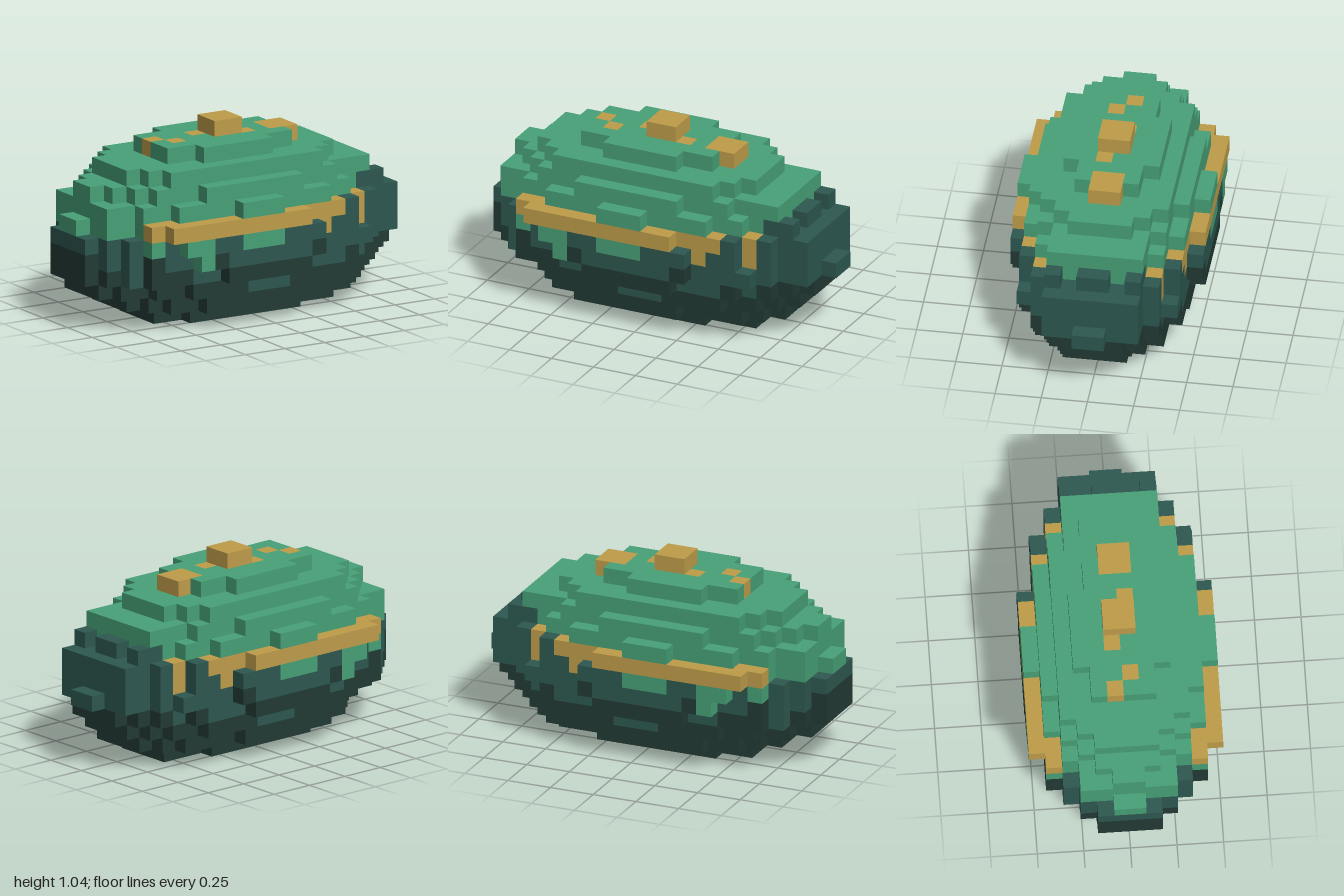
import * as THREE from 'three';
import { mergeGeometries } from 'three/addons/utils/BufferGeometryUtils.js';

const S = 2 / 23; // size of one block

// Each layer, bottom up: [start, end] block columns for rows at growing distance from the middle
const LAYERS = [
  [[5, 18], [5, 18], [7, 15]],
  [[3, 20], [3, 20], [4, 19], [5, 18], [7, 14]],
  [[1, 21], [1, 21], [2, 20], [4, 19], [6, 17]],
  [[0, 22], [0, 22], [1, 21], [2, 20], [3, 18], [8, 14]],
  [[0, 23], [0, 22], [1, 22], [2, 20], [3, 19], [6, 15]],
  [[0, 22], [0, 22], [1, 22], [2, 20], [3, 18], [5, 15]],
  [[0, 22], [1, 22], [1, 22], [3, 20], [3, 18], [4, 14]],
  [[1, 21], [1, 20], [1, 21], [3, 18], [5, 16], [9, 12]],
  [[1, 20], [2, 20], [3, 20], [4, 17], [7, 14]],
  [[3, 18], [3, 18], [4, 17], [5, 16]],
  [[6, 16], [6, 15], [8, 13]],
  [[10, 12]],
];

const COLOURS = { green: 0x47a177, teal: 0x2d5850, dark: 0x223a35, gold: 0xbf9d4a };
const PARTS = { green: 'domedShell', teal: 'sideBand', dark: 'underside', gold: 'trimAndKnob' };

// Row distance from the middle plane (front and back mirror each other)
const rowOf = (k) => (k < 6 ? 5 - k : k - 6);

function filled(i, j, k) {
  if (j < 0 || j > 11 || k < 0 || k > 11) return false;
  const span = LAYERS[j][rowOf(k)];
  return !!span && i >= span[0] && i < span[1];
}

// Colour of a block
function colourOf(i, j, k) {
  const d = rowOf(k);
  if (j === 11) return 'gold';
  // gold spots on the crown
  if (j === 10) return (k === 5 ? [6, 9, 14, 15] : k === 6 ? [7, 12, 14, 15] : []).includes(i) ? 'gold' : 'green';
  if (j >= 8) return 'green';
  if (j === 7) return (i >= 19 && (d === 2 || d === 0)) ? 'teal' : 'green';
  // gold belt and clasp drops
  if (j === 6 && d >= 4 && i < 17) return 'gold';
  if ((j === 5 || j === 6) && d === 3 && i === 18) return 'gold';
  if (j === 5 && d >= 4 && i === 15) return 'gold';
  if (j === 6) return i < 17 ? 'green' : 'teal';
  // green drips below the belt
  if (j === 5) return d >= 4 && [3, 5, 6, 9, 10, 11].includes(i) ? 'green' : 'teal';
  if (j === 4) {
    if (d >= 4 && i === 6) return 'green';
    return i === 0 || (d >= 4 && [3, 7, 14].includes(i)) ? 'dark' : 'teal';
  }
  // teal drips into the underside
  if (j === 3 && d >= 3 && [2, 6, 7, 14, 15, 16, 18].includes(i)) return 'teal';
  if (j === 2 && d >= 4 && i >= 10 && i <= 12) return 'teal';
  return 'dark';
}

// Six face directions, each with the turn that points a plane that way
const H = Math.PI / 2;
const FACES = [
  [1, 0, 0, 0, H], [-1, 0, 0, 0, -H],
  [0, 1, 0, -H, 0], [0, -1, 0, H, 0],
  [0, 0, 1, 0, 0], [0, 0, -1, 0, 2 * H],
].map(([x, y, z, rx, ry]) => ({
  x, y, z, plane: new THREE.PlaneGeometry(S, S).rotateX(rx).rotateY(ry),
}));

export function createModel() {
  const group = new THREE.Group();
  group.name = 'blockShell';
  const quads = { green: [], teal: [], dark: [], gold: [] };

  // Only the outer faces of the blocks are built
  for (let j = 0; j < 12; j++) {
    for (let k = 0; k < 12; k++) {
      for (let i = 0; i < 23; i++) {
        if (!filled(i, j, k)) continue;
        const list = quads[colourOf(i, j, k)];
        for (const f of FACES) {
          if (filled(i + f.x, j + f.y, k + f.z)) continue;
          list.push(f.plane.clone().translate(
            (i - 11 + f.x / 2) * S,
            (j + 0.5 + f.y / 2) * S,
            (k - 5.5 + f.z / 2) * S,
          ));
        }
      }
    }
  }

  for (const name of Object.keys(quads)) {
    const material = new THREE.MeshStandardMaterial({ color: COLOURS[name] });
    material.name = name;
    const mesh = new THREE.Mesh(mergeGeometries(quads[name]), material);
    mesh.name = PARTS[name];
    group.add(mesh);
  }
  return group;
}
